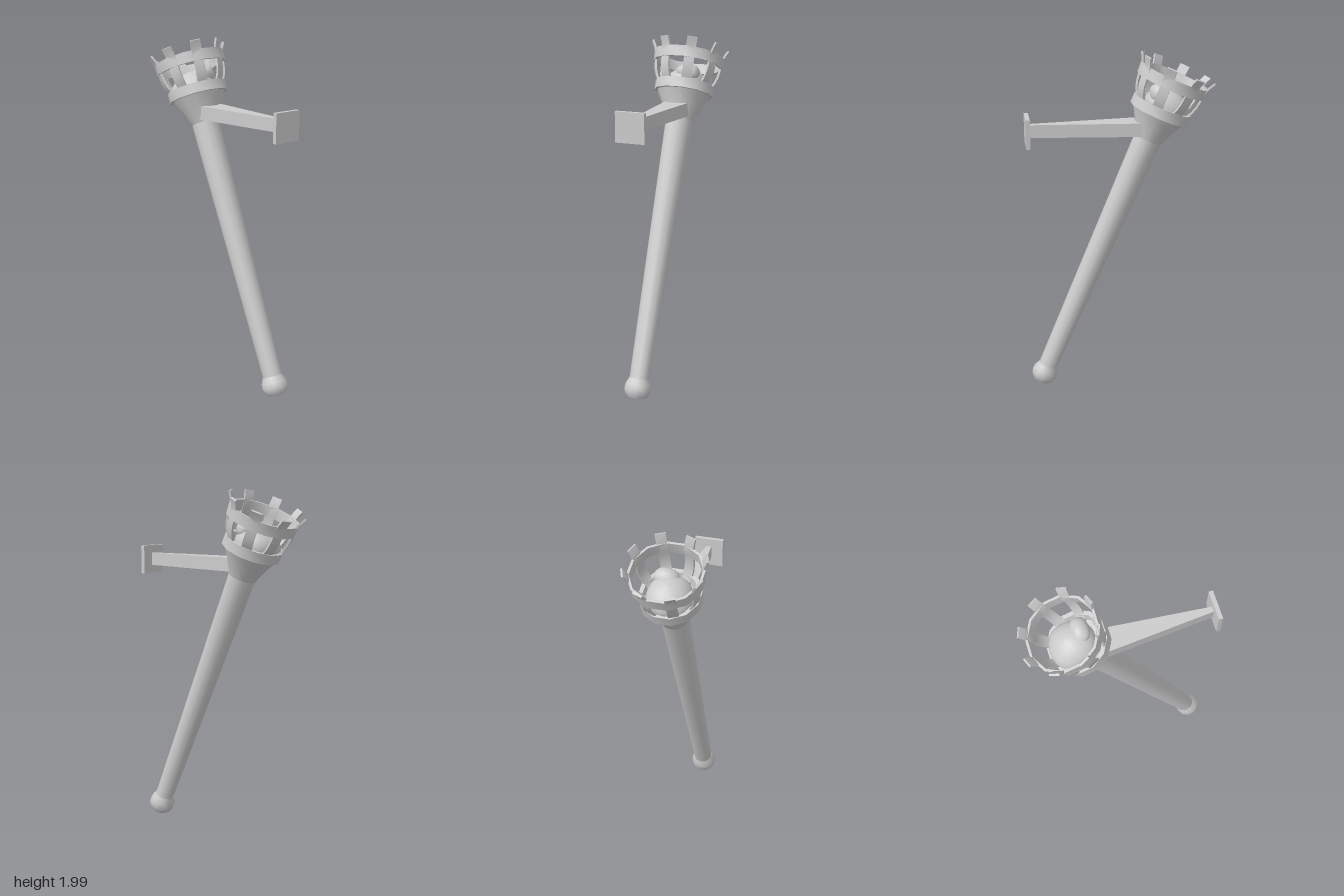
import * as THREE from 'three';
import { toCreasedNormals } from 'three/addons/utils/BufferGeometryUtils.js';

const material = new THREE.MeshStandardMaterial({ color: 0xcccccc });
const TILT = THREE.MathUtils.degToRad(23.3);

function addMesh(parent, name, geometry) {
  const mesh = new THREE.Mesh(geometry, material);
  mesh.name = name;
  parent.add(mesh);
  return mesh;
}

// Twelve-sided turned part; profile is [radius, height] pairs
function turned(profile, crease = 0.6) {
  const points = profile.map(([r, y]) => new THREE.Vector2(r, y));
  return toCreasedNormals(new THREE.LatheGeometry(points, 12, Math.PI / 12), crease);
}

// Curved metal strip: side profile thickened, then extruded across its width
function prongGeometry() {
  const curve = new THREE.SplineCurve([
    [0.125, 1.79], [0.163, 1.84], [0.184, 1.90], [0.189, 1.95], [0.195, 2.0], [0.222, 2.055],
  ].map(([r, y]) => new THREE.Vector2(r, y)));
  const outer = [], inner = [];
  for (let i = 0; i <= 8; i++) {
    const p = curve.getPoint(i / 8), d = curve.getTangent(i / 8);
    outer.push(new THREE.Vector2(p.x + d.y * 0.006, p.y - d.x * 0.006));
    inner.unshift(new THREE.Vector2(p.x - d.y * 0.006, p.y + d.x * 0.006));
  }
  const width = 0.058;
  const geometry = new THREE.ExtrudeGeometry(new THREE.Shape([...outer, ...inner]), { depth: width, bevelEnabled: false });
  return toCreasedNormals(geometry.translate(0, 0, -width / 2), 0.6);
}

// Rounded lump with gentle uneven swelling
function lump(rx, ry, rz, amount) {
  const geometry = new THREE.SphereGeometry(1, 20, 14);
  const pos = geometry.attributes.position;
  const v = new THREE.Vector3();
  for (let i = 0; i < pos.count; i++) {
    v.fromBufferAttribute(pos, i);
    const k = 1 + amount * (Math.sin(3 * v.x + 1) * Math.cos(2.5 * v.z) + 0.5 * Math.sin(4 * v.y + 2 * v.z));
    pos.setXYZ(i, v.x * k * rx, v.y * k * ry, v.z * k * rz);
  }
  geometry.computeVertexNormals();
  return geometry;
}

// Wall arm: box narrowing in width toward the wall plate
function armGeometry() {
  const geometry = new THREE.BoxGeometry(0.70, 0.078, 1);
  const pos = geometry.attributes.position;
  for (let i = 0; i < pos.count; i++) {
    const atWall = pos.getX(i) > 0;
    pos.setZ(i, pos.getZ(i) * (atWall ? 0.03 : 0.156));
    if (atWall && pos.getY(i) < 0) pos.setY(i, -0.034);
  }
  const flat = geometry.toNonIndexed();
  flat.computeVertexNormals();
  return flat;
}

export function createModel() {
  const model = new THREE.Group();
  model.name = 'wallTorch';

  // Leaning torch, built upright along its own axis
  const torch = new THREE.Group();
  torch.name = 'torch';
  torch.position.set(0.474, 0.03, 0);
  torch.rotation.z = TILT;
  model.add(torch);

  addMesh(torch, 'shaft', turned([[0.055, 0.08], [0.08, 1.64]]));
  addMesh(torch, 'endKnob', turned([
    [0, 0], [0.048, 0], [0.068, 0.02], [0.076, 0.045], [0.073, 0.075], [0.056, 0.11], [0, 0.112],
  ], 0.7));
  addMesh(torch, 'cup', turned([
    [0, 1.618], [0.083, 1.618], [0.117, 1.70], [0.156, 1.772],
    [0.173, 1.772], [0.173, 1.83], [0.15, 1.83], [0.135, 1.785], [0, 1.77],
  ], 0.55));
  addMesh(torch, 'basketRing', turned([
    [0.204, 1.943], [0.207, 2.005], [0.193, 2.005], [0.190, 1.943], [0.204, 1.943],
  ]));

  // Basket prongs
  const prong = prongGeometry();
  for (let i = 0; i < 8; i++) {
    addMesh(torch, 'prong', prong).rotation.y = (i + 0.5) * Math.PI / 4;
  }

  // Fuel in the basket
  addMesh(torch, 'fuel', lump(0.136, 0.105, 0.13, 0.06)).position.set(-0.025, 1.82, 0);
  addMesh(torch, 'fuelKnot', lump(0.055, 0.05, 0.075, 0.08)).position.set(0.055, 1.885, -0.03);

  // Wall bracket
  addMesh(model, 'bracketArm', armGeometry()).position.set(0.155, 1.585, 0);
  addMesh(model, 'wallPlate', new THREE.BoxGeometry(0.024, 0.166, 0.168)).position.set(0.514, 1.587, 0);

  return model;
}
